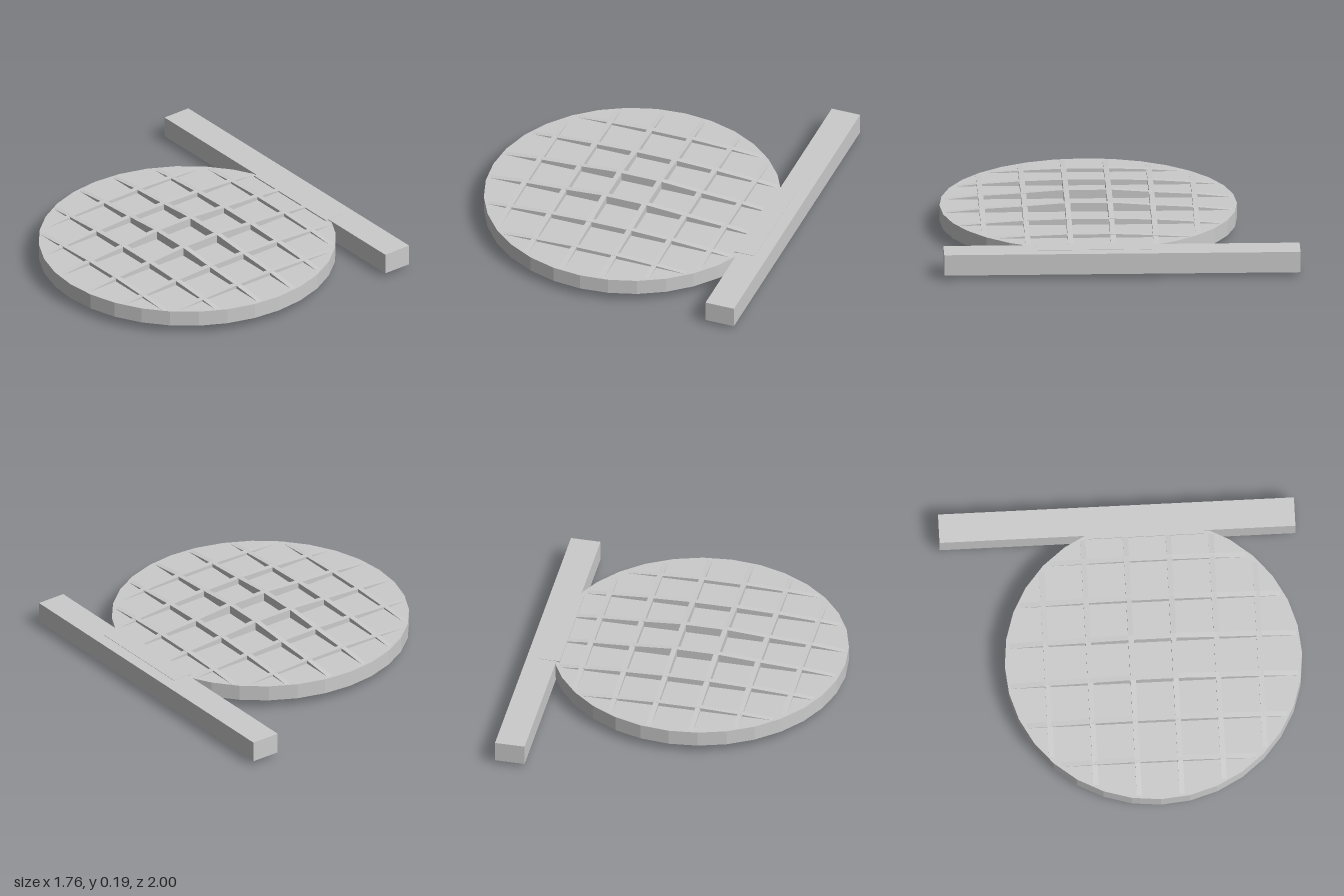
import * as THREE from 'three';

const CX = -0.045, CZ = 0.163, MID = 0.095, HALF = 0.045, R = 0.835;
const RIB = 0.03, OFFSETS = [-0.6, -0.36, -0.12, 0.12, 0.36, 0.6];

// rib height above the disc face, falling off towards the rim
const FALLOFF = [[0.18, 0.05], [0.39, 0.033], [0.62, 0.02], [0.82, 0]];
function ribHeight(r) {
  if (r <= FALLOFF[0][0]) return FALLOFF[0][1];
  for (let i = 1; i < FALLOFF.length; i++) {
    const [r0, h0] = FALLOFF[i - 1], [r1, h1] = FALLOFF[i];
    if (r <= r1) return h0 + (h1 - h0) * (r - r0) / (r1 - r0);
  }
  return 0;
}

// lens-shaped strip passing through the disc, raised on both faces
function ribGeometry(offset) {
  const end = Math.sqrt(0.815 ** 2 - offset ** 2);
  const half = OFFSETS.filter(t => t > 0 && t + 0.03 < end)
    .map(t => [t + RIB / 2, HALF + ribHeight(Math.hypot(offset, t + RIB / 2))]);
  half.push([end, HALF]);
  const top = [...half.map(([t, h]) => [-t, h]).reverse(), ...half];
  const bottom = top.map(([t, h]) => [t, -h]).reverse();
  const shape = new THREE.Shape([...top, ...bottom].map(p => new THREE.Vector2(...p)));
  const geo = new THREE.ExtrudeGeometry(shape, { depth: RIB, bevelEnabled: false });
  return geo.translate(0, 0, -RIB / 2);
}

export function createModel() {
  const group = new THREE.Group();
  const mat = new THREE.MeshStandardMaterial({ color: 0xcccccc, flatShading: true });
  const add = (name, geo, x, y, z, parent = group) => {
    const mesh = new THREE.Mesh(geo, mat);
    mesh.name = name;
    mesh.position.set(x, y, z);
    parent.add(mesh);
    return mesh;
  };

  // round plate
  add('disc', new THREE.CylinderGeometry(R, R, HALF * 2, 32), CX, MID, CZ);

  // crossed stiffening ribs on both faces
  const ribs = new THREE.Group();
  ribs.name = 'ribGrid';
  group.add(ribs);
  for (const o of OFFSETS) {
    add('crossRib', ribGeometry(o), CX, MID, CZ + o, ribs);
    add('lengthRib', ribGeometry(o), CX + o, MID, CZ, ribs).rotation.y = Math.PI / 2;
  }

  // straight bar and the tab joining it to the disc
  add('bar', new THREE.BoxGeometry(0.17, 0.12, 2), 0.795, 0.085, 0);
  add('tab', new THREE.BoxGeometry(0.12, 0.09, 0.65), 0.75, 0.102, 0.16);
  return group;
}
